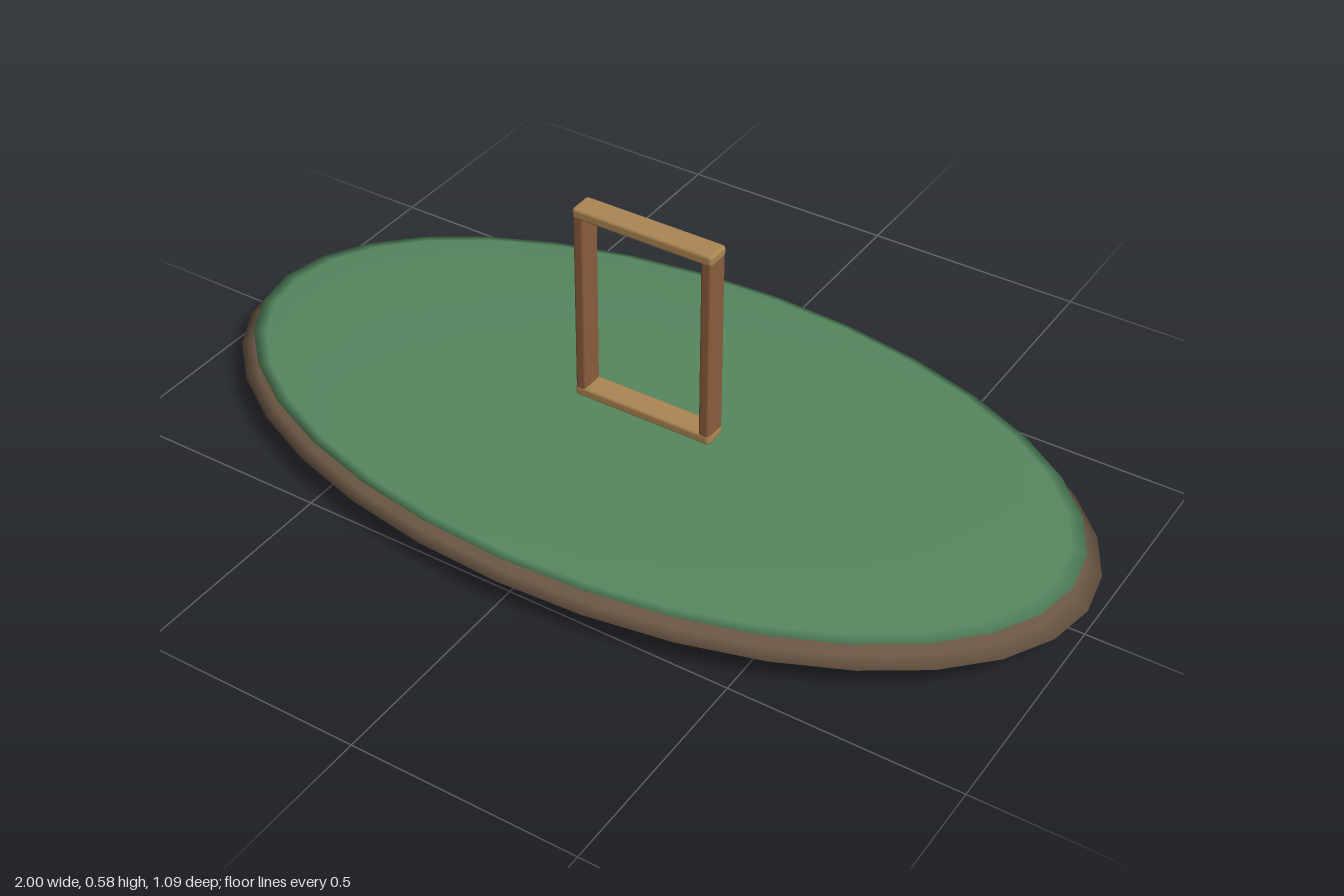
import * as THREE from 'three';
import { RoundedBoxGeometry } from 'three/addons/geometries/RoundedBoxGeometry.js';

const material = (name, color) => {
  const m = new THREE.MeshStandardMaterial({ color });
  m.name = name;
  return m;
};

export function createModel() {
  const group = new THREE.Group();
  group.name = 'discWithFrame';

  const earth = material('earthBrown', 0x6b5744);
  const grass = material('grassGreen', 0x55875f);
  const postWood = material('postWood', 0x8b5e3c);
  const barWood = material('barWood', 0xac8654);

  const add = (name, geometry, mat, x, y, z) => {
    const mesh = new THREE.Mesh(geometry, mat);
    mesh.name = name;
    mesh.position.set(x, y, z);
    group.add(mesh);
    return mesh;
  };

  // Flattened oval discs: brown ground with a thin green cover
  const disc = (name, mat, y, rx, ry, rz) =>
    add(name, new THREE.SphereGeometry(1, 32, 12).scale(rx, ry, rz), mat, 0, y, 0);
  disc('ground', earth, 0.06, 1, 0.06, 0.545);
  disc('grassCover', grass, 0.103, 0.965, 0.018, 0.525);

  // Upright rectangular frame: two posts between two lighter bars
  for (const side of [1, -1]) {
    add(side > 0 ? 'leftPost' : 'rightPost',
      new RoundedBoxGeometry(0.026, 0.45, 0.054, 2, 0.007), postWood, side * 0.15, 0.349, 0);
  }
  for (const [name, y] of [['topBar', 0.569], ['bottomBar', 0.13]]) {
    add(name, new RoundedBoxGeometry(0.328, 0.026, 0.056, 2, 0.008), barWood, 0, y, 0);
  }

  return group;
}
